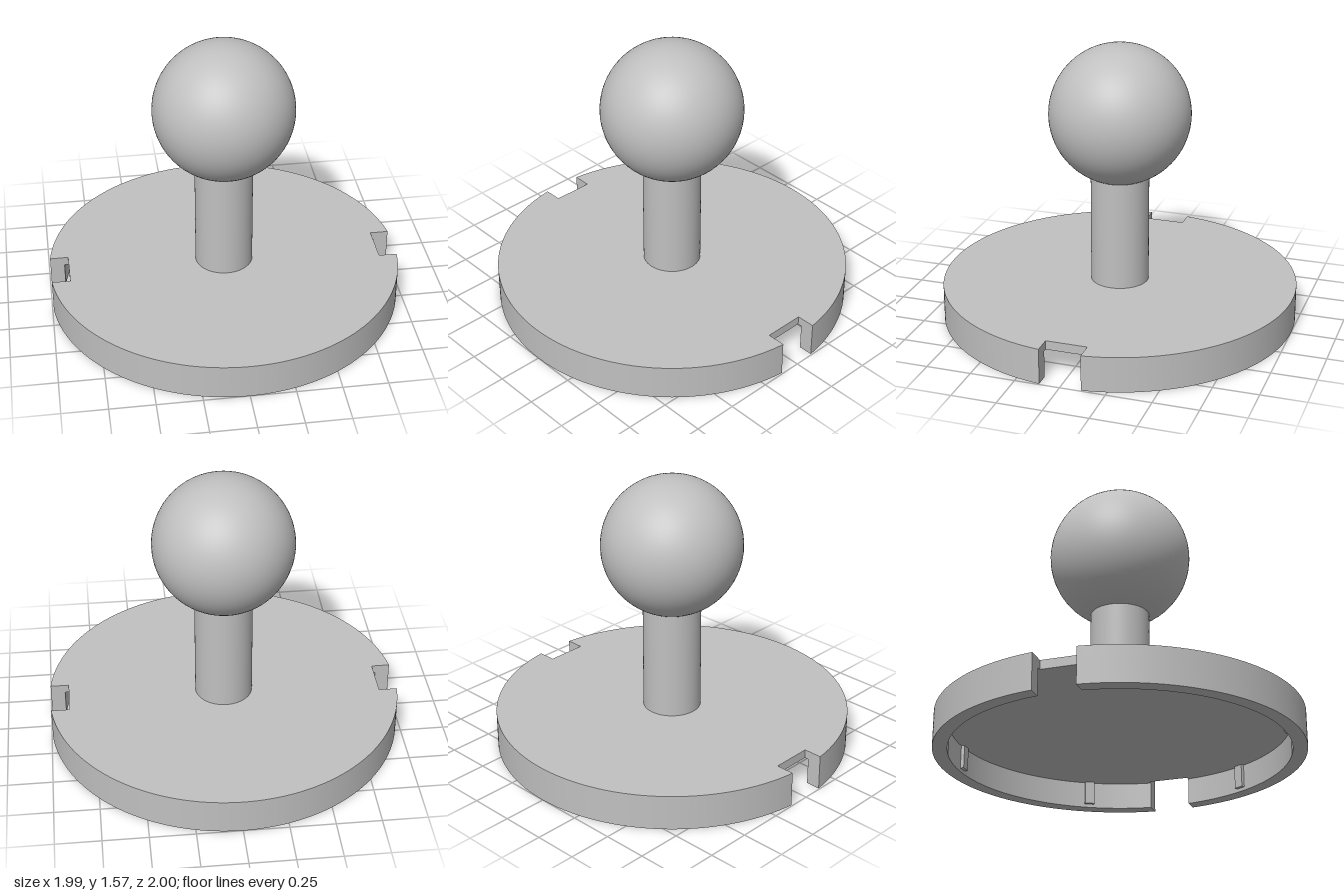
import * as THREE from 'three';
import { toCreasedNormals } from 'three/addons/utils/BufferGeometryUtils.js';

const R = 1, INNER = 0.92, HEIGHT = 0.2, RECESS = 0.15;
const NOTCH_HALF = 0.115, NOTCH_X = 0.89;
const STEM_R = 0.163, BALL_R = 0.393, BALL_Y = 1.177;

// Extrudes a plan shape upward from y0 by the given height
function slab(shape, y0, height) {
  const geo = new THREE.ExtrudeGeometry(shape, { depth: height, bevelEnabled: false, curveSegments: 64 });
  geo.rotateX(-Math.PI / 2);
  geo.translate(0, y0, 0);
  return toCreasedNormals(geo, 0.5);
}

export function createModel() {
  const model = new THREE.Group();
  model.name = 'ballMount';
  const grey = new THREE.MeshStandardMaterial({ color: 0xc0c0c0 });
  grey.name = 'grey';

  const add = (name, geo, parent = model) => {
    const mesh = new THREE.Mesh(geo, grey);
    mesh.name = name;
    parent.add(mesh);
    return mesh;
  };

  const base = new THREE.Group();
  base.name = 'base';
  model.add(base);

  // Top plate: disc with a square notch on each side
  const outer = Math.asin(NOTCH_HALF / R);
  const plate = new THREE.Shape();
  plate.absarc(0, 0, R, outer, Math.PI - outer, false);
  plate.lineTo(-NOTCH_X, NOTCH_HALF);
  plate.lineTo(-NOTCH_X, -NOTCH_HALF);
  plate.absarc(0, 0, R, Math.PI + outer, 2 * Math.PI - outer, false);
  plate.lineTo(NOTCH_X, -NOTCH_HALF);
  plate.lineTo(NOTCH_X, NOTCH_HALF);
  plate.closePath();
  add('topPlate', slab(plate, RECESS, HEIGHT - RECESS), base);

  // Rim: two half rings, open at the notches
  const inner = Math.asin(NOTCH_HALF / INNER);
  const ring = new THREE.Shape();
  ring.absarc(0, 0, R, outer, Math.PI - outer, false);
  ring.absarc(0, 0, INNER, Math.PI - inner, inner, true);
  ring.closePath();
  const rimGeo = slab(ring, 0, RECESS);
  add('backRim', rimGeo, base);
  add('frontRim', rimGeo, base).rotation.y = Math.PI;

  // Six small ribs on the inside of the rim
  const ribGeo = new THREE.BoxGeometry(0.04, 0.13, 0.055);
  for (let i = 0; i < 6; i++) {
    const angle = Math.PI / 6 + (i * Math.PI) / 3;
    const rib = add('rib', ribGeo, base);
    rib.position.set(Math.cos(angle) * 0.92, 0.085, Math.sin(angle) * 0.92);
    rib.rotation.y = -angle;
  }

  // Stem and ball
  const stemTop = BALL_Y - Math.sqrt(BALL_R ** 2 - STEM_R ** 2) + 0.01;
  const stemGeo = new THREE.CylinderGeometry(STEM_R, STEM_R, stemTop - HEIGHT, 64, 1, true);
  add('stem', stemGeo).position.y = (stemTop + HEIGHT) / 2;
  add('ball', new THREE.SphereGeometry(BALL_R, 64, 40)).position.y = BALL_Y;

  return model;
}
